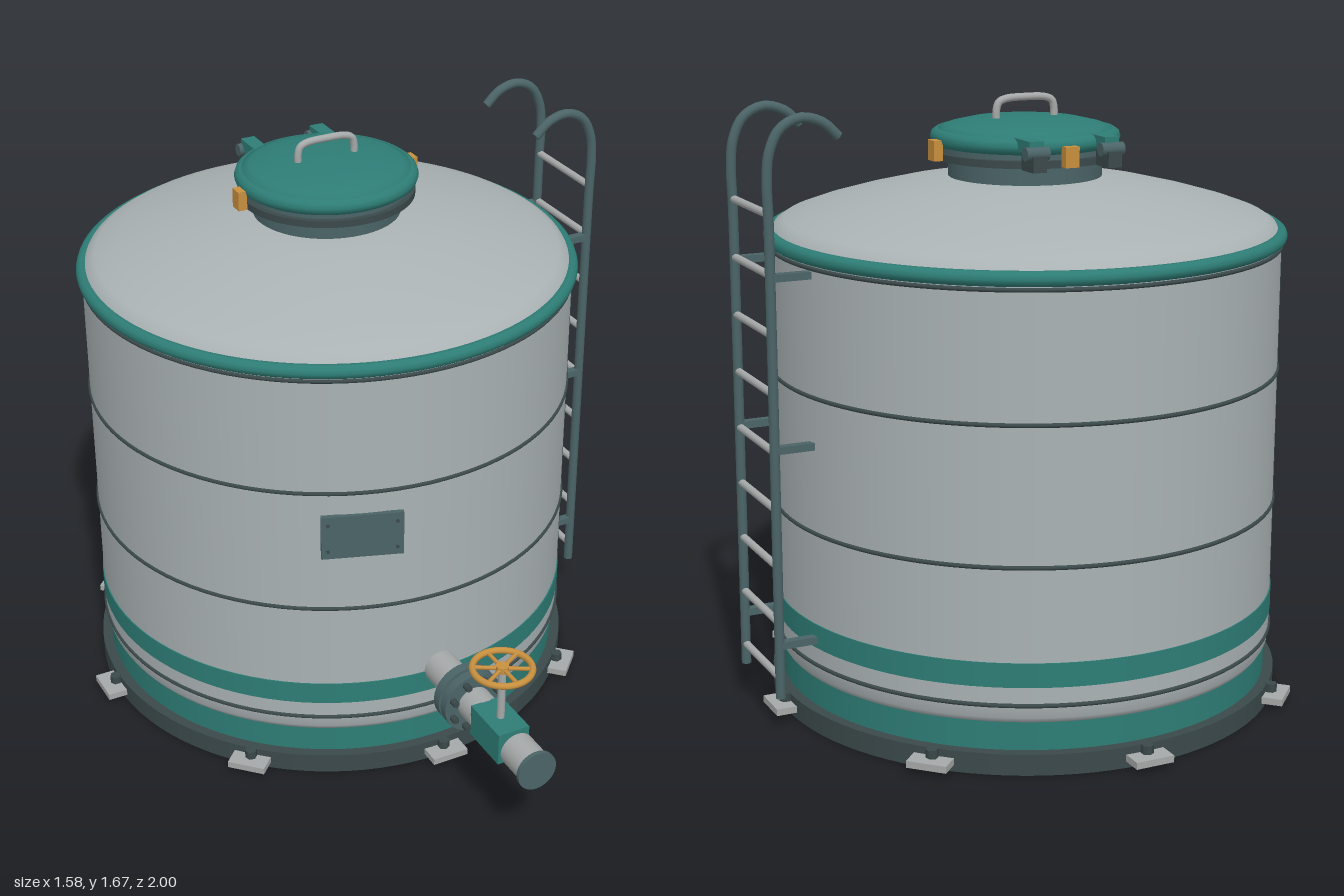
import * as THREE from 'three';

const mat = (name, color) => {
  const m = new THREE.MeshStandardMaterial({ color });
  m.name = name;
  return m;
};

export function createModel() {
  const shellGrey = mat('shell grey', 0xaab2b4);
  const green = mat('tank green', 0x2e7d76);
  const steel = mat('dark teal steel', 0x4b6467);
  const dark = mat('base dark', 0x3b494b);
  const orange = mat('brass orange', 0xc8903f);
  const light = mat('light metal', 0xa6a9a9);

  const model = new THREE.Group();
  model.name = 'storageTank';

  const add = (parent, name, geo, material, x = 0, y = 0, z = 0) => {
    const m = new THREE.Mesh(geo, material);
    m.name = name;
    m.position.set(x, y, z);
    parent.add(m);
    return m;
  };
  const group = (parent, name, x = 0, y = 0, z = 0) => {
    const g = new THREE.Group();
    g.name = name;
    g.position.set(x, y, z);
    parent.add(g);
    return g;
  };
  const box = (w, h, d) => new THREE.BoxGeometry(w, h, d);
  const cyl = (r, h, seg = 32) => new THREE.CylinderGeometry(r, r, h, seg);
  const lathe = (pts, seg = 96) =>
    new THREE.LatheGeometry(pts.map(([r, y]) => new THREE.Vector2(r, y)), seg);
  const ring = (r, t, seg = 96) => new THREE.TorusGeometry(r, t, 10, seg).rotateX(Math.PI / 2);
  // Round bar between two points
  const rod = (parent, name, a, b, r, material, seg = 14) => {
    const p = new THREE.Vector3(...a), q = new THREE.Vector3(...b);
    const d = q.clone().sub(p);
    const m = add(parent, name, cyl(r, d.length(), seg), material);
    m.position.copy(p).add(q).multiplyScalar(0.5);
    m.quaternion.setFromUnitVectors(new THREE.Vector3(0, 1, 0), d.normalize());
    return m;
  };

  // Tank axis
  const tank = group(model, 'tank', -0.022, 0, -0.228);

  // Base and skirt
  add(tank, 'baseRing', cyl(0.717, 0.058, 96), dark, 0, 0.029);
  add(tank, 'skirt', cyl(0.688, 0.08, 96), green, 0, 0.095);

  // Shell with rounded lower knuckle
  add(tank, 'lowerKnuckle', lathe([[0.66, 0.13], [0.688, 0.135], [0.697, 0.15], [0.7, 0.18]]), shellGrey);
  add(tank, 'shell', new THREE.CylinderGeometry(0.7, 0.7, 1.12, 96, 1, true), shellGrey, 0, 0.74);
  add(tank, 'greenBand', new THREE.CylinderGeometry(0.703, 0.703, 0.066, 96), green, 0, 0.268);
  for (const y of [0.185, 0.556, 0.927, 1.268]) add(tank, 'hoopSeam', ring(0.7, 0.006), dark, 0, y);
  for (const a of [0, Math.PI]) {
    const seam = group(tank, 'verticalSeam');
    seam.rotation.y = a + Math.atan2(0.624, 0.322);
    add(seam, 'seamStrip', box(0.01, 1.07, 0.01), dark, 0, 0.725, 0.7);
  }

  // Roof and rim
  add(tank, 'roof', lathe([[0.7, 1.295], [0.685, 1.322], [0.66, 1.338], [0.6, 1.36], [0.5, 1.389],
    [0.38, 1.418], [0.28, 1.437], [0.2, 1.448], [0, 1.455]]), shellGrey);
  add(tank, 'roofRim', ring(0.696, 0.02), green, 0, 1.295);

  // Anchor feet
  for (let i = 0; i < 8; i++) {
    const foot = group(tank, 'anchorFoot');
    foot.rotation.y = i * Math.PI / 4;
    add(foot, 'footPlate', box(0.11, 0.019, 0.12), light, 0, 0.028, 0.712);
    add(foot, 'footBolt', cyl(0.017, 0.03, 6), dark, 0, 0.046, 0.728);
  }

  // Manway neck, flange and lid
  const hatch = group(tank, 'hatch');
  add(hatch, 'neck', cyl(0.21, 0.08, 64), steel, 0, 1.47);
  add(hatch, 'neckFlange', cyl(0.25, 0.02, 64), dark, 0, 1.507);
  add(hatch, 'gasket', cyl(0.235, 0.03, 64), steel, 0, 1.525);
  add(hatch, 'lidRim', ring(0.236, 0.023, 64), green, 0, 1.554);
  add(hatch, 'lid', lathe([[0, 1.535], [0.245, 1.535], [0.247, 1.572], [0.215, 1.585],
    [0.16, 1.598], [0.09, 1.604], [0, 1.607]], 64), green);
  const handleCurve = new THREE.CatmullRomCurve3([[-0.087, 1.59], [-0.087, 1.625], [-0.08, 1.646], [-0.06, 1.655],
    [0, 1.658], [0.06, 1.655], [0.08, 1.646], [0.087, 1.625], [0.087, 1.59]].map(([x, y]) => new THREE.Vector3(x, y, 0)));
  add(hatch, 'lidHandle', new THREE.TubeGeometry(handleCurve, 40, 0.0105, 10), light);

  // Lid clamps on left, right and back
  for (const a of [Math.PI / 2, -Math.PI / 2, Math.PI]) {
    const clamp = group(hatch, 'lidClamp');
    clamp.rotation.y = a;
    add(clamp, 'clampBody', box(0.04, 0.055, 0.026), orange, 0, 1.528, 0.267);
  }

  // Lid hinges
  for (const x of [-0.11, 0.11]) {
    add(hatch, 'hingeArm', box(0.042, 0.03, 0.1), green, x, 1.562, -0.24);
    add(hatch, 'hingeBlock', box(0.04, 0.042, 0.07), dark, x, 1.519, -0.275);
    rod(hatch, 'hingePin', [x - 0.033, 1.545, -0.287], [x + 0.033, 1.545, -0.287], 0.018, steel);
  }

  // Nameplate tangent to the shell
  const plate = group(tank, 'nameplate');
  plate.rotation.y = Math.atan2(-0.23, 0.664);
  add(plate, 'plateBody', box(0.226, 0.132, 0.014), steel, 0, 0.796, 0.703);
  for (const x of [-0.095, 0.095]) for (const y of [0.755, 0.837])
    add(plate, 'plateRivet', cyl(0.005, 0.008, 8).rotateX(Math.PI / 2), dark, x, y, 0.711);

  // Ladder with hooked rails
  const ladder = group(tank, 'ladder');
  for (const z of [-0.14, 0.14]) {
    const path = new THREE.CatmullRomCurve3([[0.79, 0.11], [0.79, 0.6], [0.79, 1.1], [0.791, 1.4], [0.793, 1.5], [0.785, 1.57],
      [0.755, 1.628], [0.7, 1.653], [0.64, 1.638], [0.6, 1.602]].map(([x, y]) => new THREE.Vector3(x, y, z)));
    add(ladder, 'rail', new THREE.TubeGeometry(path, 90, 0.0135, 12), steel);
    // End caps
    for (const t of [0, 1]) {
      const p = path.getPoint(t), d = path.getTangent(t).multiplyScalar(0.002);
      rod(ladder, 'railCap', p.clone().sub(d).toArray(), p.clone().add(d).toArray(), 0.0135, steel, 12);
    }
    for (const y of [0.258, 0.795, 1.25]) add(ladder, 'standoff', box(0.11, 0.02, 0.024), steel, 0.735, y, z);
  }
  for (let i = 0; i < 9; i++) {
    const y = 0.165 + i * 0.156;
    rod(ladder, 'rung', [0.79, y, -0.14], [0.79, y, 0.14], 0.0105, light);
  }

  // Outlet pipe and valve, running along z
  const valve = group(model, 'outletValve', -0.022, 0.305, 0);
  const along = (name, r, z0, z1, material, seg = 32) =>
    rod(valve, name, [0, 0, z0], [0, 0, z1], r, material, seg);
  along('outletPipe', 0.05, 0.42, 0.73, light);
  along('innerFlange', 0.091, 0.598, 0.626, steel);
  along('outerFlange', 0.091, 0.636, 0.663, steel);
  for (let i = 0; i < 8; i++) {
    const a = (i + 0.5) * Math.PI / 4, x = 0.073 * Math.cos(a), y = 0.073 * Math.sin(a);
    rod(valve, 'flangeBolt', [x, y, 0.59], [x, y, 0.685], 0.01, dark, 6);
  }
  add(valve, 'valveBody', box(0.095, 0.096, 0.15), green, 0, 0, 0.802);
  along('spoutPipe', 0.05, 0.893, 0.99, light);
  along('spoutCap', 0.058, 0.988, 1.0, steel);

  // Stem and handwheel
  rod(valve, 'valveStem', [0, 0.04, 0.805], [0, 0.212, 0.805], 0.011, light);
  const wheel = group(valve, 'handwheel', 0, 0.21, 0.805);
  add(wheel, 'wheelRim', ring(0.081, 0.0095, 40), orange);
  add(wheel, 'wheelHub', cyl(0.018, 0.018, 16), orange);
  for (let i = 0; i < 3; i++) {
    const a = Math.PI / 2 + i * Math.PI / 3, c = 0.08 * Math.cos(a), s = 0.08 * Math.sin(a);
    rod(wheel, 'wheelSpoke', [-c, 0, -s], [c, 0, s], 0.006, orange, 8);
  }

  return model;
}
